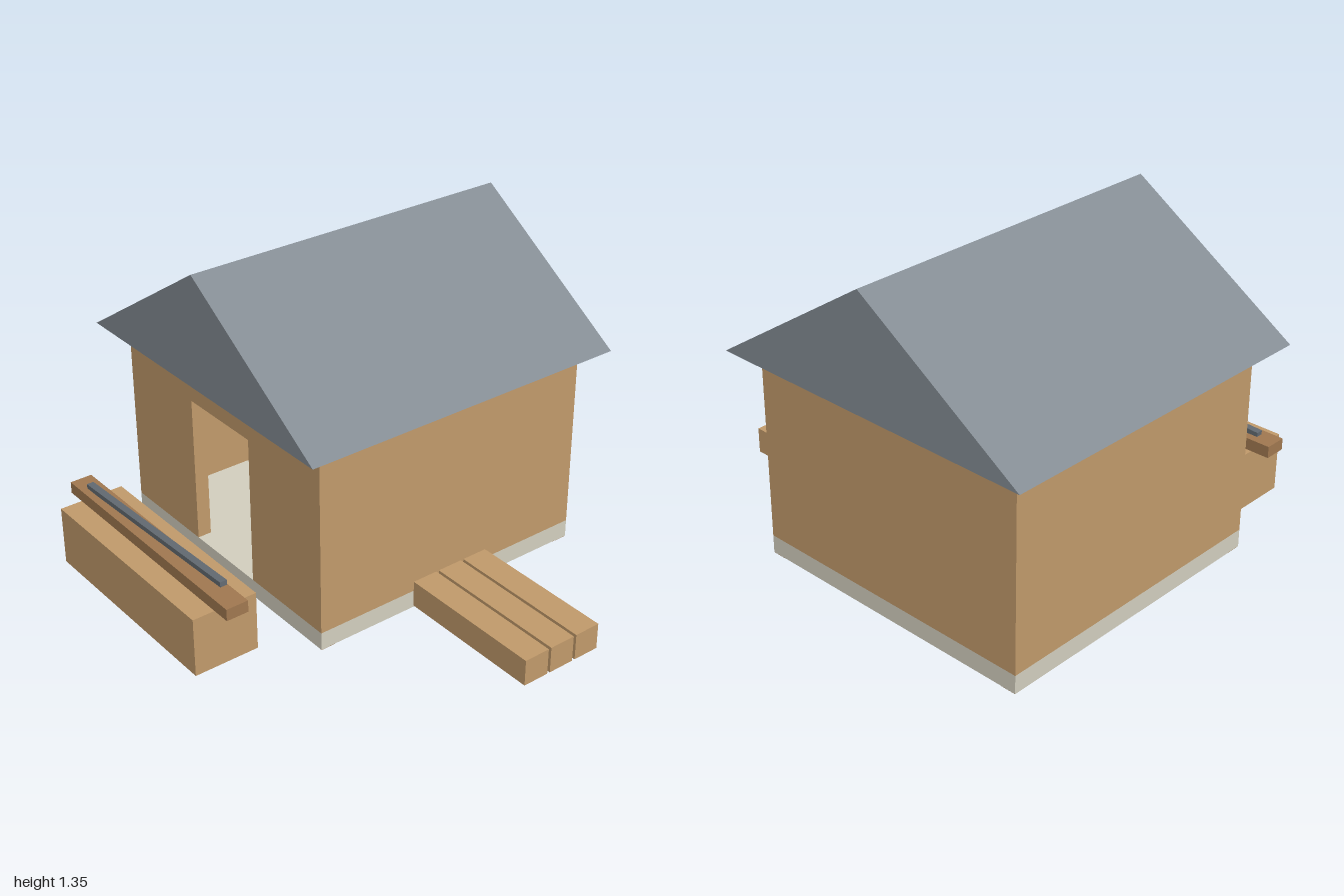
import * as THREE from 'three';

const paint = (color) => new THREE.MeshStandardMaterial({ color, flatShading: true });

export function createModel() {
  const model = new THREE.Group();
  const wood = paint(0xc19a6b), darkWood = paint(0xa07850), stone = paint(0xd3cfbf);
  const slate = paint(0x848c93), iron = paint(0x626a71);

  const add = (name, geometry, material, parent = model) => {
    const mesh = new THREE.Mesh(geometry, material);
    mesh.name = name;
    parent.add(mesh);
    return mesh;
  };
  // Box given by its limits on each axis
  const box = (name, [x0, x1], [y0, y1], [z0, z1], material, parent) => {
    const mesh = add(name, new THREE.BoxGeometry(x1 - x0, y1 - y0, z1 - z0), material, parent);
    mesh.position.set((x0 + x1) / 2, (y0 + y1) / 2, (z0 + z1) / 2);
    return mesh;
  };
  // Outline in x and y, extruded from z0 to z1
  const slab = (name, points, z0, z1, material, parent) => {
    const shape = new THREE.Shape(points.map(([x, y]) => new THREE.Vector2(x, y)));
    const geometry = new THREE.ExtrudeGeometry(shape, { depth: z1 - z0, bevelEnabled: false });
    return add(name, geometry.translate(0, 0, z0), material, parent);
  };

  const L = -0.905, R = 0.365, B = -0.82, F = 0.45; // house footprint
  const floorY = 0.08, eaveY = 0.875, wall = 0.06;

  // Stone floor slab, lifted slightly off the ground by the corner posts
  box('floorSlab', [L, R], [0.004, floorY], [B, F], stone);
  const posts = new THREE.Group();
  posts.name = 'cornerPosts';
  model.add(posts);
  const p = 0.065, inset = 0.003;
  for (const x of [L + inset, R - inset - p])
    for (const z of [B + inset, F - inset - p])
      box('cornerPost', [x, x + p], [0, eaveY - 0.002], [z, z + p], darkWood, posts);

  // Hollow walls, the front one notched for the doorway
  const walls = new THREE.Group();
  walls.name = 'walls';
  model.add(walls);
  box('leftWall', [R - wall, R], [floorY, eaveY], [B, F], wood, walls);
  box('rightWall', [L, L + wall], [floorY, eaveY], [B, F], wood, walls);
  box('backWall', [L + wall, R - wall], [floorY, eaveY], [B, B + wall], wood, walls);
  const doorL = -0.465, doorR = -0.08, doorTop = 0.715;
  slab('frontWall', [
    [L + wall, floorY], [doorL, floorY], [doorL, doorTop], [doorR, doorTop],
    [doorR, floorY], [R - wall, floorY], [R - wall, eaveY], [L + wall, eaveY],
  ], F - wall, F, wood, walls);

  // Solid gabled roof
  slab('roof', [[-1, eaveY], [0.455, eaveY], [-0.2725, 1.35]], -0.91, 0.545, slate);

  // Workbench with an overhanging plank and a tilted bar
  const bench = new THREE.Group();
  bench.name = 'workbench';
  model.add(bench);
  box('benchBase', [-0.75, 0.205], [0.003, 0.255], [0.63, 0.91], wood, bench);
  box('benchPlank', [-0.83, 0.285], [0.255, 0.305], [0.72, 0.815], darkWood, bench);
  box('metalBar', [-0.75, 0.205], [0.324, 0.345], [0.755, 0.785], iron, bench).rotation.z = 0.046;

  // Row of timber beams beside the house
  const beams = new THREE.Group();
  beams.name = 'timberBeams';
  model.add(beams);
  for (let i = 0; i < 3; i++) {
    const z = -0.127 * i;
    box('timberBeam', [R, 1], [0.01, 0.122], [z - 0.114, z], wood, beams);
  }

  return model;
}
